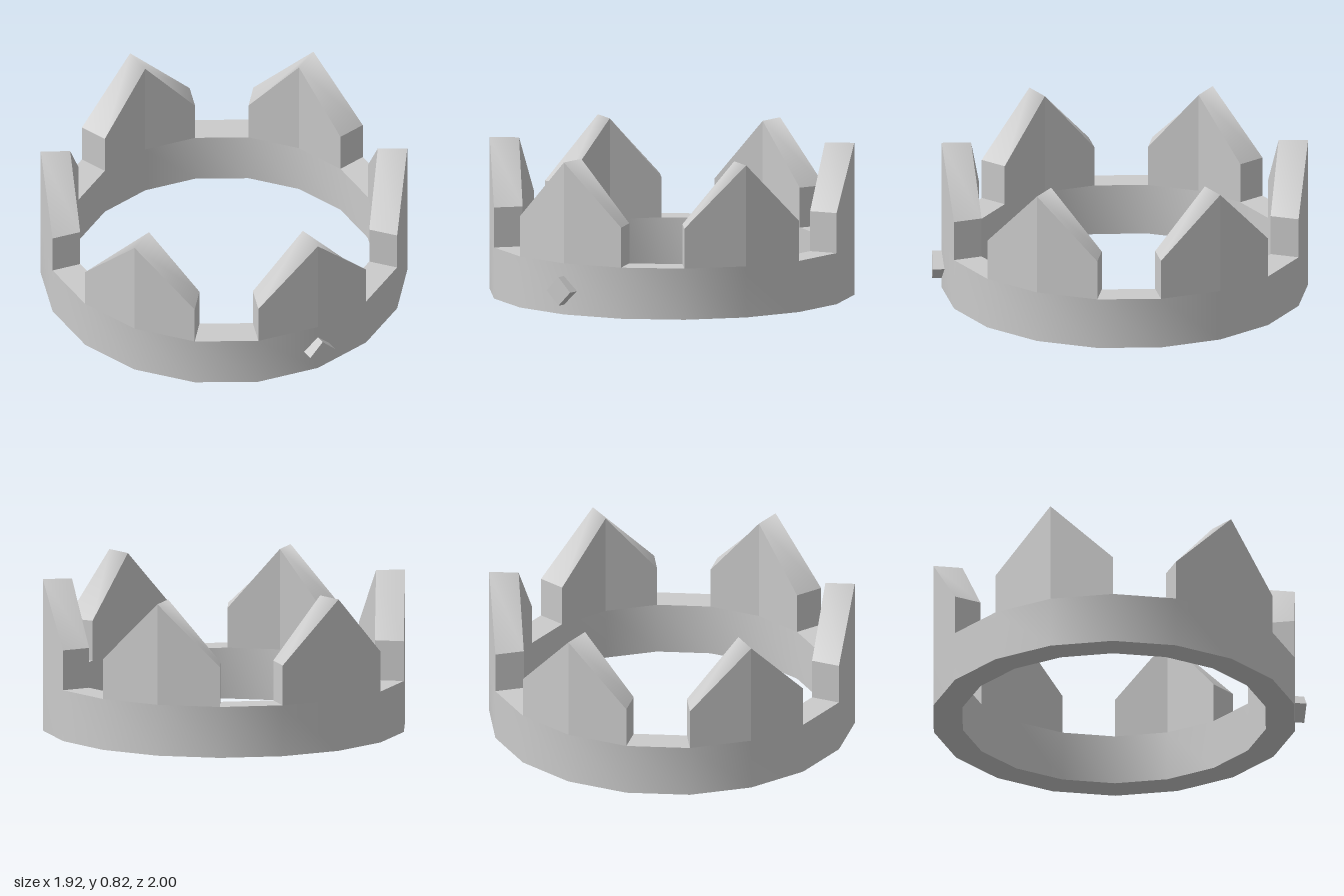
import * as THREE from 'three';
import { toCreasedNormals } from 'three/addons/utils/BufferGeometryUtils.js';

const SIDES = 18, STEP = (Math.PI * 2) / SIDES;
const OUTER = 0.975, INNER = 0.818;
const BAND = 0.275, SHOULDER = 0.49, PEAK = 0.818;

const point = (r, i, y) => [r * Math.sin(i * STEP), y, r * Math.cos(i * STEP)];

function geometryFrom(points, index) {
  const g = new THREE.BufferGeometry();
  g.setAttribute('position', new THREE.Float32BufferAttribute(points.flat(), 3));
  if (index) g.setIndex(index);
  g.computeVertexNormals();
  return g;
}

// Upright faces of one crown point, spanning two sides of the band
function pointWalls() {
  const tops = [SHOULDER, PEAK, SHOULDER];
  const tris = [];
  const quad = (a, b, c, d) => tris.push(a, b, c, a, c, d);
  // vertical wall between two (radius, column) positions
  const wall = (r0, i0, r1, i1) => quad(
    point(r0, i0, BAND), point(r1, i1, BAND),
    point(r1, i1, tops[i1 + 1]), point(r0, i0, tops[i0 + 1]));
  for (const i of [-1, 0]) {
    wall(OUTER, i, OUTER, i + 1);
    wall(INNER, i + 1, INNER, i);
  }
  wall(INNER, -1, OUTER, -1);
  wall(OUTER, 1, INNER, 1);
  return geometryFrom(tris);
}

// Two sloping top faces, smoothed across the peak
function pointSlopes() {
  const pts = [];
  for (const i of [-1, 0, 1]) {
    const y = i === 0 ? PEAK : SHOULDER;
    pts.push(point(OUTER, i, y), point(INNER, i, y));
  }
  return geometryFrom(pts, [0, 2, 3, 0, 3, 1, 2, 4, 5, 2, 5, 3]);
}

export function createModel() {
  const model = new THREE.Group();
  model.name = 'crown';
  const smooth = new THREE.MeshStandardMaterial({ color: 0xcccccc });
  const flat = new THREE.MeshStandardMaterial({ color: 0xcccccc, flatShading: true });
  const add = (parent, name, geometry, material) => {
    const mesh = new THREE.Mesh(geometry, material);
    mesh.name = name;
    parent.add(mesh);
    return mesh;
  };

  // Band: closed rectangular profile turned around the axis
  const ring = new THREE.Group();
  ring.name = 'ring';
  ring.position.z = -0.025;
  model.add(ring);
  const profile = [[INNER, 0], [OUTER, 0], [OUTER, BAND], [INNER, BAND], [INNER, 0]]
    .map(([r, y]) => new THREE.Vector2(r, y));
  add(ring, 'band', toCreasedNormals(new THREE.LatheGeometry(profile, SIDES), 0.7), smooth);

  // Six points around the band
  const walls = pointWalls(), slopes = pointSlopes();
  for (let k = 0; k < 6; k++) {
    const crownPoint = new THREE.Group();
    crownPoint.name = 'crownPoint' + (k + 1);
    crownPoint.rotation.y = k * 3 * STEP;
    add(crownPoint, 'pointWalls', walls, flat);
    add(crownPoint, 'pointSlopes', slopes, smooth);
    ring.add(crownPoint);
  }

  // Square gem set on its corner at the front
  const gem = add(model, 'gem', new THREE.BoxGeometry(0.109, 0.109, 0.09), flat);
  gem.position.set(0, 0.13, 0.955);
  gem.rotation.z = Math.PI / 4;

  return model;
}
